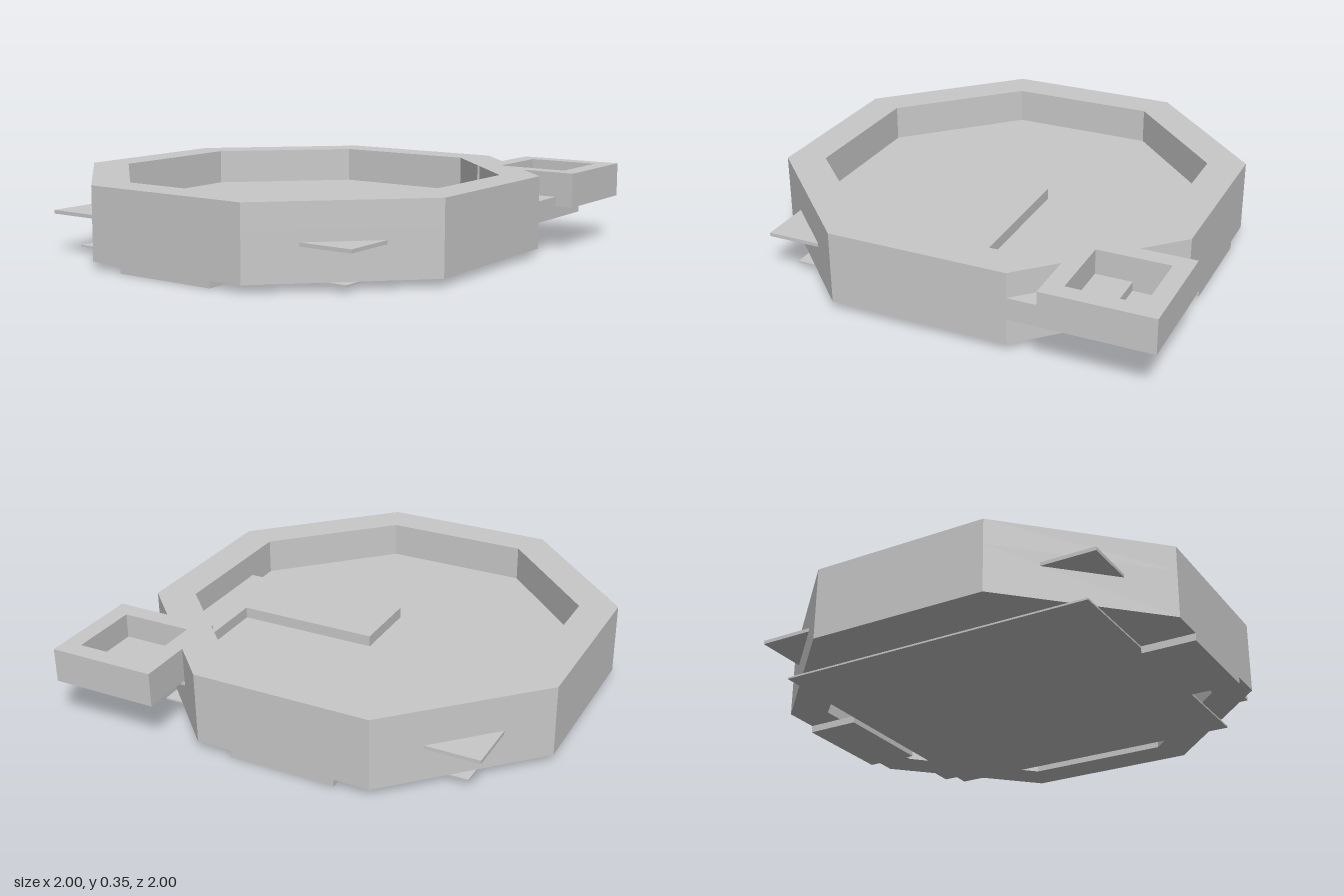
import * as THREE from 'three';

// Centre of the octagonal tray in x and z
const C = -0.04;

// Corners of a regular octagon with flat sides, as [x, z]
function octagon(half) {
  const k = half * Math.tan(Math.PI / 8);
  return [[half, -k], [half, k], [k, half], [-k, half], [-half, k], [-half, -k], [-k, -half], [k, -half]]
    .map(([x, z]) => [x + C, z + C]);
}

function square(x0, x1, z0, z1) {
  return [[x0, z0], [x1, z0], [x1, z1], [x0, z1]];
}

// Upright prism from a plan outline, with an optional hole
function prism(outline, y0, y1, hole) {
  // Reversed so that outlines run anticlockwise and hole walls face inwards
  const pts = (list) => list.map(([x, z]) => new THREE.Vector2(x, -z)).reverse();
  const shape = new THREE.Shape(pts(outline));
  if (hole) shape.holes.push(new THREE.Path(pts(hole).reverse()));
  const geo = new THREE.ExtrudeGeometry(shape, { depth: y1 - y0, bevelEnabled: false });
  return geo.rotateX(-Math.PI / 2).translate(0, y0, 0);
}

export function createModel() {
  const model = new THREE.Group();
  const grey = new THREE.MeshStandardMaterial({ color: 0xc9c9c9 });
  grey.name = 'plainGrey';

  const add = (name, geometry) => {
    const mesh = new THREE.Mesh(geometry, grey);
    mesh.name = name;
    model.add(mesh);
  };

  // Octagonal wall; the upper band is notched where the shaft opens
  const outer = octagon(0.96);
  const inner = octagon(0.8);
  const sum = outer[1][0] + outer[1][1];
  const notched = [...outer];
  notched.splice(2, 0, [sum - 0.6, 0.6], [0.6, 0.6], [0.6, sum - 0.6]);
  add('wallLower', prism(outer, 0.032, 0.24, inner));
  add('wallUpper', prism(notched, 0.24, 0.352, inner));

  // Square floor slab whose corners poke through the wall
  add('floorSlab', prism(square(C - 0.8, C + 0.8, C - 0.8, C + 0.8), 0.176, 0.192));

  // Raised L-shaped path leading under the wall to the shaft
  add('raisedPath', prism([
    [-0.2, -0.04], [0.12, -0.04], [0.12, 0.6],
    [0.76, 0.6], [0.76, 0.92], [-0.2, 0.92],
  ], 0.146, 0.242));

  // Square shaft on the front left corner, closed by a thin floor
  add('cornerShaft', prism(square(0.52, 1, 0.52, 1), 0.2, 0.352, square(0.6, 0.92, 0.6, 0.92)));
  add('shaftFloor', prism(square(0.6, 0.92, 0.6, 0.92), 0.194, 0.202));

  // Thin base plate
  add('basePlate', prism(square(C - 0.72, C + 0.72, C - 0.72, C + 0.72), 0.024, 0.032));

  // Feet on both sides
  for (const [side, s] of [['left', 1], ['right', -1]]) {
    const a = C + s * 0.72, b = C + s * 0.96;
    add(side + 'Foot', prism(square(Math.min(a, b), Math.max(a, b), -0.28, 0.2), 0, 0.032));
  }

  return model;
}
